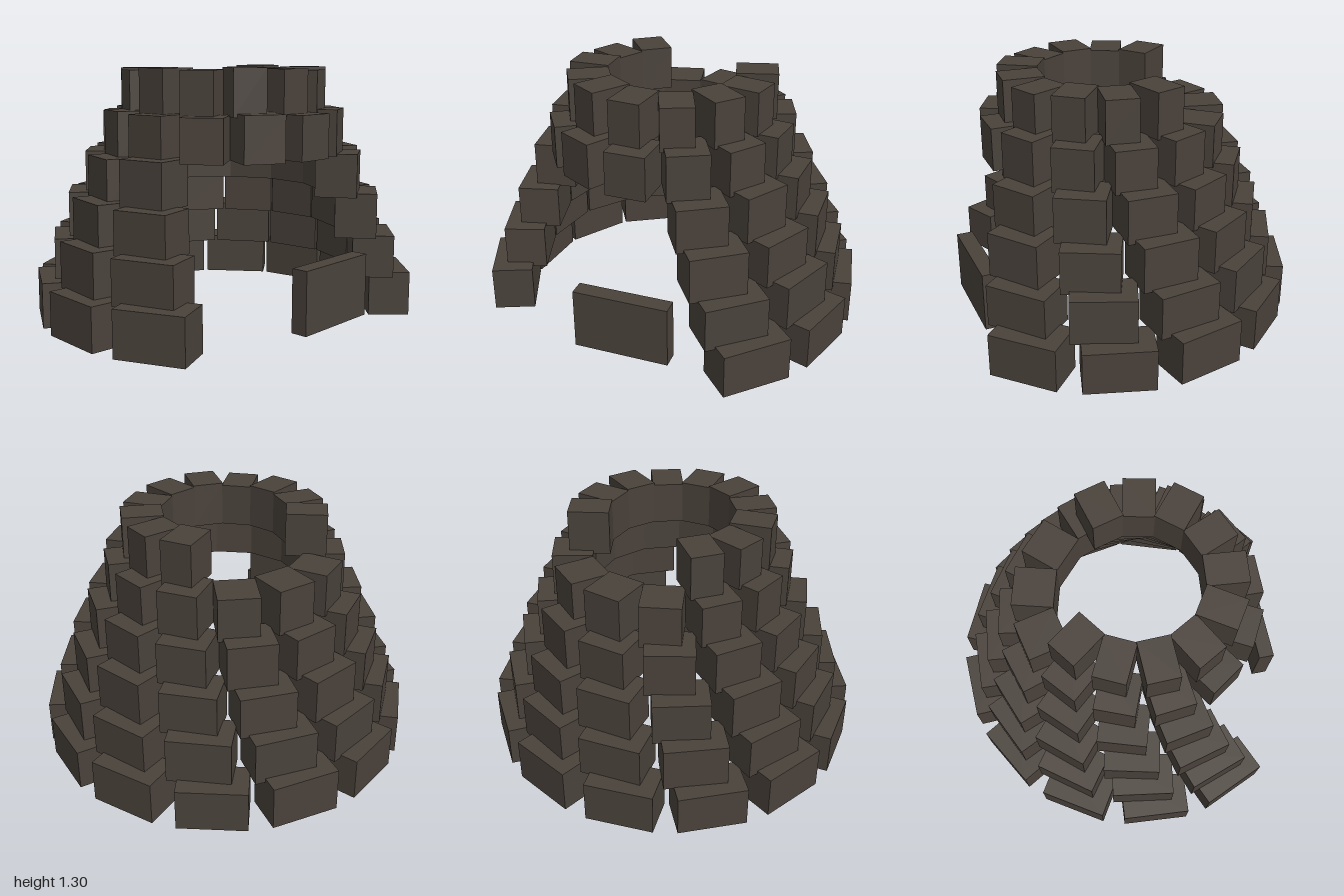
import * as THREE from 'three';

const STONE = new THREE.MeshStandardMaterial({ color: 0x4a423b });
STONE.name = 'darkStone';

const SLOTS = 13;        // blocks in a complete ring
const DEPTH = 0.212;     // radial thickness of the wall
const RISE = 0.213;      // height from one course to the next
const CENTRE_X = 0.071;
const rad = THREE.MathUtils.degToRad;

// outer radius, block width, angle of first block (degrees from +x towards +z), block count
const COURSES = [
  { r: 0.978, w: 0.355, start: 67.0, count: 10 },
  { r: 0.895, w: 0.322, start: 71.4, count: 10 },
  { r: 0.810, w: 0.286, start: 75.7, count: 10 },
  { r: 0.717, w: 0.250, start: 80.0, count: 10 },
  { r: 0.622, w: 0.207, start: 84.3, count: 13 },
  { r: 0.530, w: 0.165, start: -105.2, count: 10 },
];

function box(name, w, h, d) {
  const mesh = new THREE.Mesh(new THREE.BoxGeometry(w, h, d), STONE);
  mesh.name = name;
  return mesh;
}

// One ring of blocks, each facing the centre, with slightly uneven heights
function buildCourse({ r, w, start, count }, tier) {
  const course = new THREE.Group();
  course.name = `wallCourse${tier + 1}`;
  for (let i = 0; i < count; i++) {
    const a = rad(start + (i * 360) / SLOTS);
    const h = 0.235 - 0.004 * ((i * 3 + tier * 2) % 5);
    const block = box('wallBlock', DEPTH, h, w);
    const mid = r - DEPTH / 2;
    block.position.set(Math.cos(a) * mid, tier * RISE + h / 2, Math.sin(a) * mid);
    block.rotation.y = -a;
    course.add(block);
  }
  return course;
}

export function createModel() {
  const model = new THREE.Group();
  model.name = 'stoneHut';

  // Stepped circular wall, open on one side
  const wall = new THREE.Group();
  wall.name = 'wall';
  wall.position.x = CENTRE_X;
  COURSES.forEach((c, tier) => wall.add(buildCourse(c, tier)));
  model.add(wall);

  // Slab standing in the doorway
  const slab = box('doorSlab', 0.085, 0.315, 0.49);
  slab.position.set(0.786, 0.21, 0.002);
  model.add(slab);

  return model;
}
